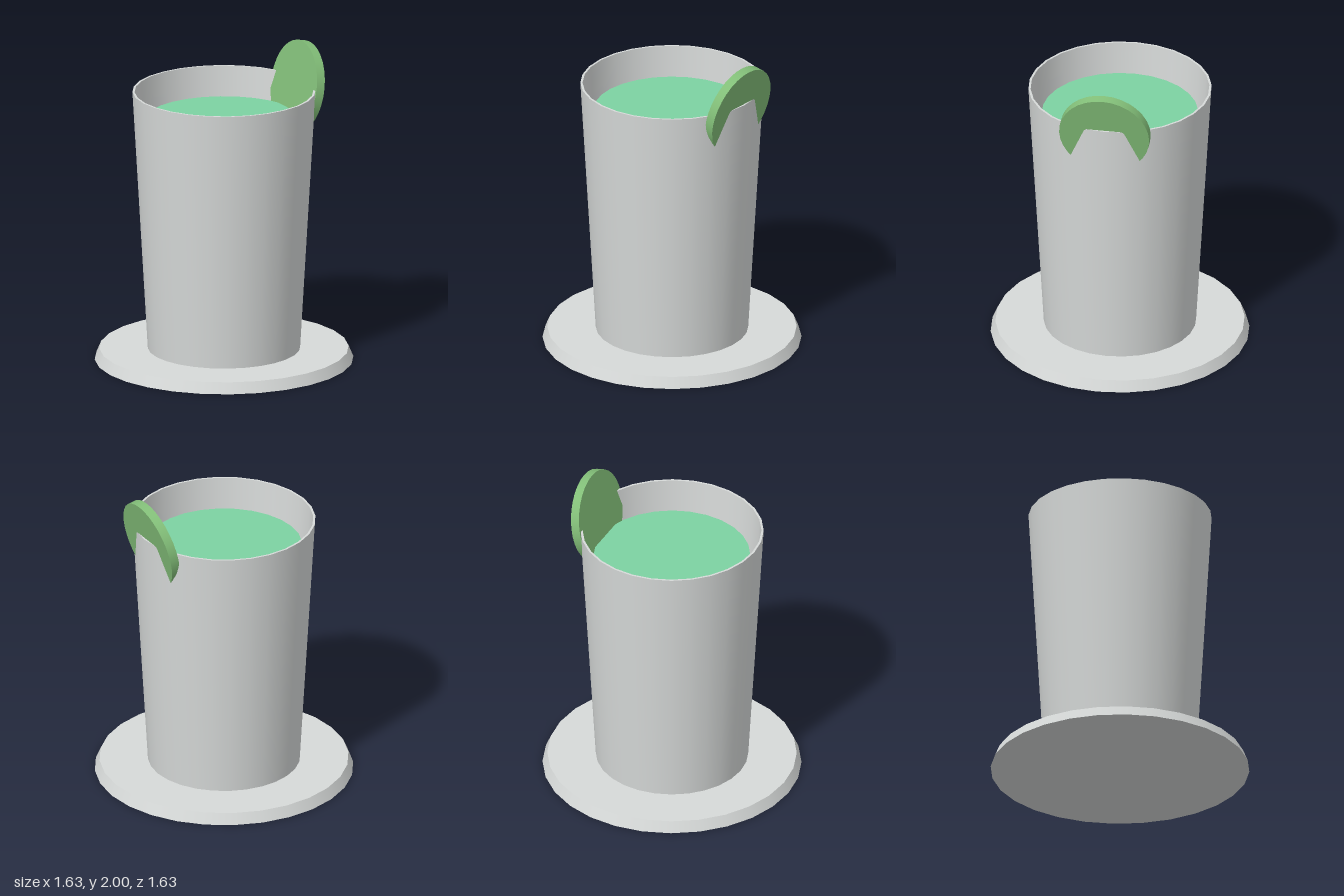
import * as THREE from 'three';

const SIDES = 28;

function material(name, color) {
  const m = new THREE.MeshStandardMaterial({ color });
  m.name = name;
  return m;
}

export function createModel() {
  const model = new THREE.Group();
  model.name = 'drink';

  const glassGrey = material('glassGrey', 0xd6d9d8);
  const drinkGreen = material('drinkGreen', 0x7dd2a2);
  const limeGreen = material('limeGreen', 0x82be78);

  const add = (name, geometry, mat, parent = model) => {
    const mesh = new THREE.Mesh(geometry, mat);
    mesh.name = name;
    parent.add(mesh);
    return mesh;
  };

  // Coaster with a sloping edge
  add('coaster', new THREE.CylinderGeometry(0.785, 0.815, 0.07, SIDES), glassGrey).position.y = 0.035;

  // Thin tapered tumbler: each band runs between two (radius, height) points
  const glass = new THREE.Group();
  glass.name = 'glass';
  model.add(glass);
  const band = (r0, y0, r1, y1) =>
    new THREE.LatheGeometry([new THREE.Vector2(r0, y0), new THREE.Vector2(r1, y1)], SIDES);
  add('outerWall', band(0.48, 0.07, 0.577, 1.75), glassGrey, glass);
  add('rim', band(0.577, 1.75, 0.563, 1.75), glassGrey, glass);
  add('innerWall', band(0.563, 1.75, 0.468, 0.071), glassGrey, glass);

  // Drink, slightly narrower than the glass
  add('liquid', new THREE.CylinderGeometry(0.492, 0.45, 1.49, SIDES), drinkGreen).position.y = 0.825;

  // Lime slice pushed over the rim and leaning outwards
  const lime = add('limeSlice', new THREE.CylinderGeometry(0.288, 0.288, 0.057, 32), limeGreen);
  lime.position.set(0.527, 1.712, 0);
  lime.rotation.z = THREE.MathUtils.degToRad(-102);

  return model;
}
